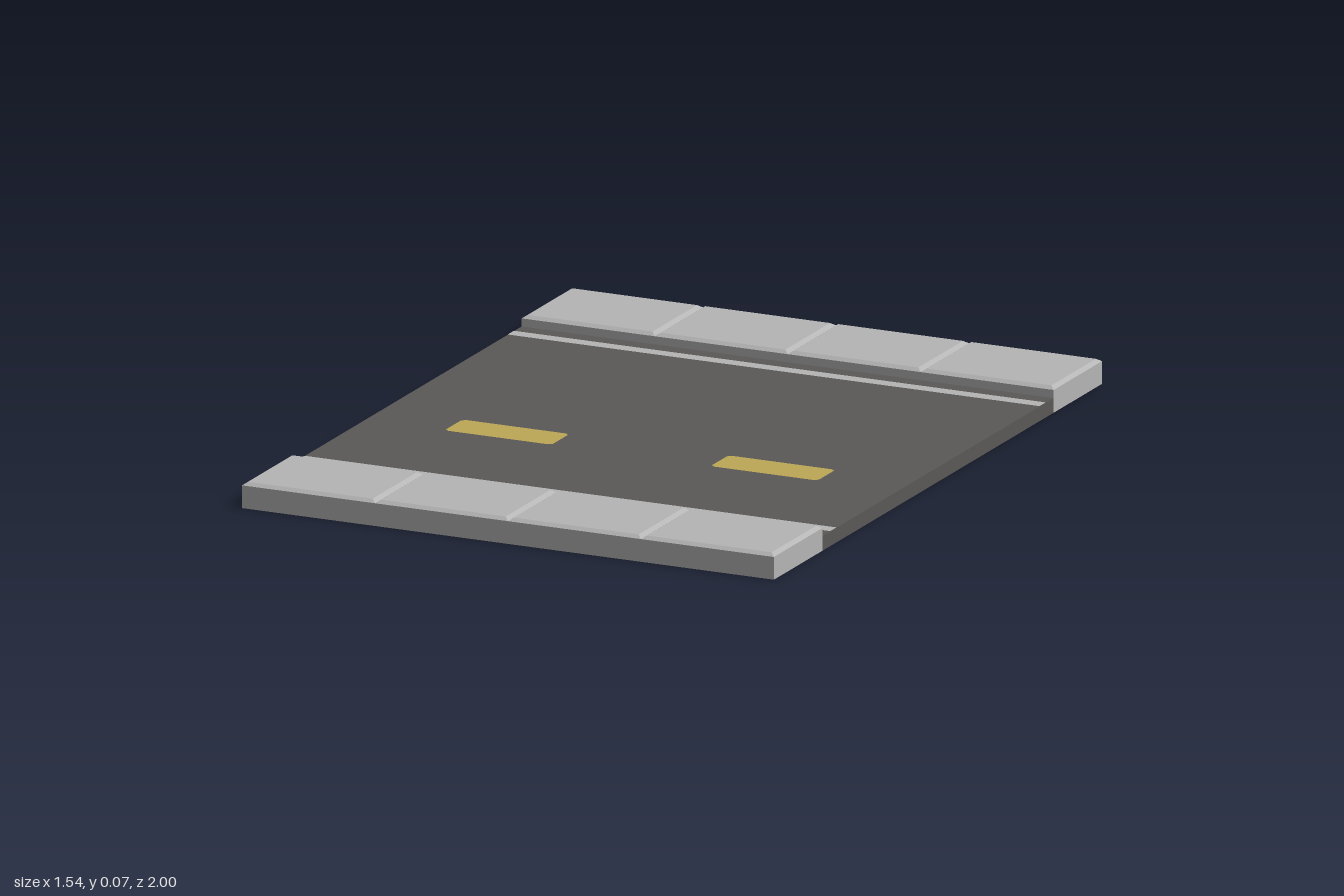
import * as THREE from 'three';

const WIDTH = 1.54, ROAD_TOP = 0.04, KERB_TOP = 0.07, KERB_Z = 0.705;

function material(name, color, flatShading = false) {
  const m = new THREE.MeshStandardMaterial({ color, flatShading });
  m.name = name;
  return m;
}

function add(parent, name, geometry, mat, x, y, z) {
  const mesh = new THREE.Mesh(geometry, mat);
  mesh.name = name;
  mesh.position.set(x, y, z);
  parent.add(mesh);
  return mesh;
}

// Paving slab standing on y = 0 with a chamfered top rim
function slabGeometry(w, h, d, inset, drop) {
  const box = new THREE.BoxGeometry(w, h, d, 1, 2, 1).translate(0, h / 2, 0);
  const p = box.attributes.position;
  for (let i = 0; i < p.count; i++) {
    const y = p.getY(i);
    if (y > h * 0.75) {
      p.setX(i, p.getX(i) - Math.sign(p.getX(i)) * inset);
      p.setZ(i, p.getZ(i) - Math.sign(p.getZ(i)) * inset);
    } else if (y > h * 0.25) {
      p.setY(i, h - drop);
    }
  }
  const flat = box.toNonIndexed();
  flat.computeVertexNormals();
  return flat;
}

// Flat lane dash with small clipped corners, facing up
function dashGeometry(w, d, c) {
  const a = w / 2, b = d / 2;
  const outline = [[-a + c, -b], [a - c, -b], [a, -b + c], [a, b - c],
    [a - c, b], [-a + c, b], [-a, b - c], [-a, -b + c]];
  const shape = new THREE.Shape(outline.map(([x, y]) => new THREE.Vector2(x, y)));
  return new THREE.ShapeGeometry(shape).rotateX(-Math.PI / 2);
}

export function createModel() {
  const model = new THREE.Group();
  model.name = 'roadSection';
  const asphalt = material('asphalt', 0x5b5958);
  const concrete = material('concrete', 0xb5b5b5, true);
  const linePaint = material('linePaint', 0xb5b5b5);
  const yellowPaint = material('yellowPaint', 0xbda856);

  // Road bed
  add(model, 'roadBed', new THREE.BoxGeometry(WIDTH, ROAD_TOP, KERB_Z * 2), asphalt, 0, ROAD_TOP / 2, 0);

  // Sidewalk slabs and edge line on each side
  const slabWidth = WIDTH / 4, slabDepth = 1 - KERB_Z;
  const slab = slabGeometry(slabWidth, KERB_TOP, slabDepth, 0.012, 0.008);
  const line = new THREE.PlaneGeometry(WIDTH, 0.038).rotateX(-Math.PI / 2);
  for (const [side, s] of [['front', 1], ['back', -1]]) {
    const sidewalk = new THREE.Group();
    sidewalk.name = side + 'Sidewalk';
    for (let i = 0; i < 4; i++) {
      add(sidewalk, 'pavingSlab', slab, concrete, (i - 1.5) * slabWidth, 0, s * (KERB_Z + slabDepth / 2));
    }
    model.add(sidewalk);
    add(model, side + 'EdgeLine', line, linePaint, 0, ROAD_TOP + 0.001, s * 0.638);
  }

  // Yellow lane dashes
  const dash = dashGeometry(0.31, 0.11, 0.01);
  for (const x of [-0.385, 0.385]) {
    add(model, 'laneDash', dash, yellowPaint, x, ROAD_TOP + 0.001, 0.195);
  }
  return model;
}
